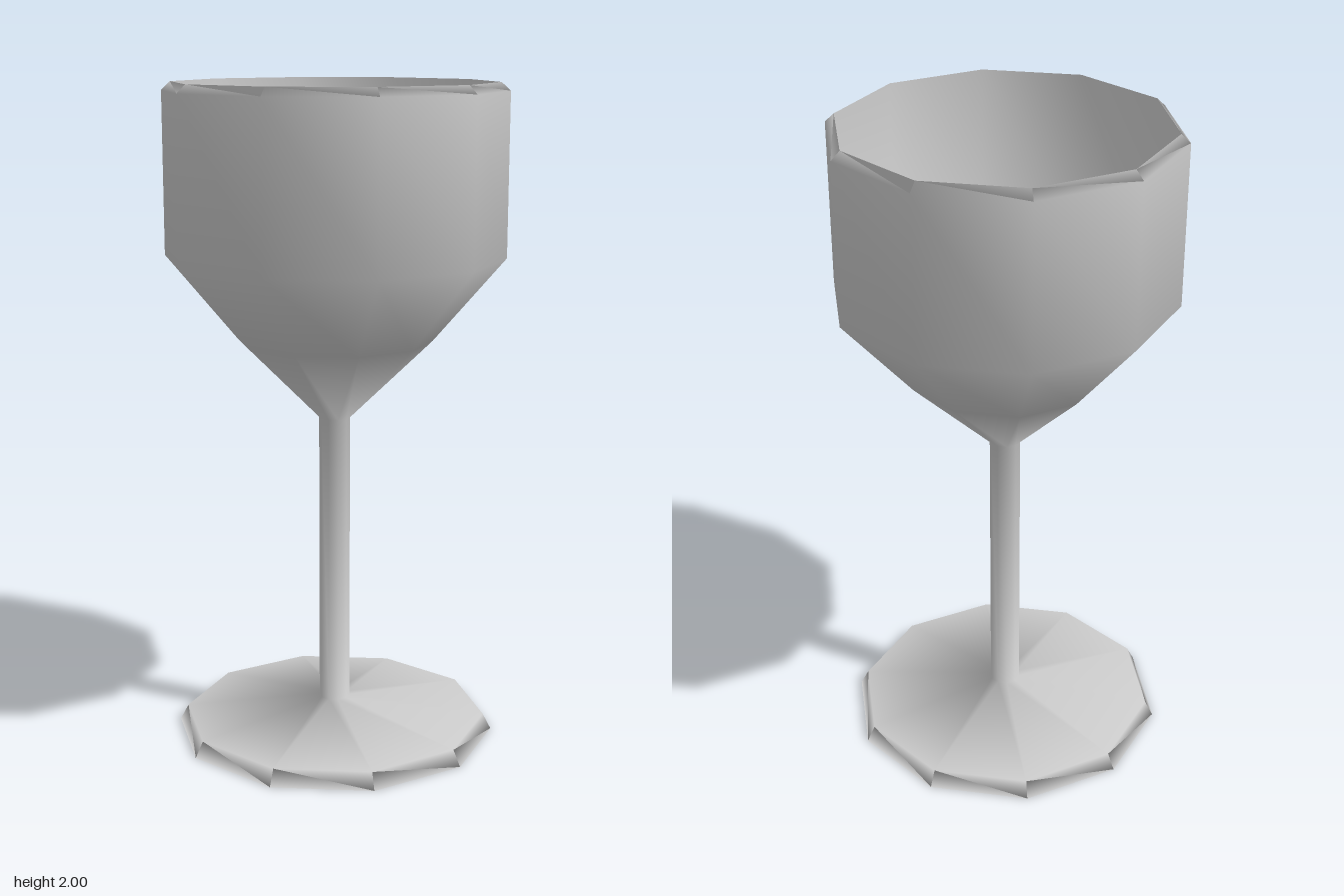
import * as THREE from 'three';

const SIDES = 10;

// Full turned profile [radius, height]: under the foot, up the outside, over the rim, down the inside
const PROFILE = [
  [0, 0], [0.493, 0], [0.468, 0.048], [0.047, 0.1],   // foot
  [0.047, 1.0],                                       // stem
  [0.295, 1.24], [0.51, 1.49], [0.51, 1.975],         // bowl outside
  [0.483, 2.0],                                       // rim
  [0.483, 1.5], [0.272, 1.26], [0, 1.02],             // bowl inside
];

export function createModel() {
  const group = new THREE.Group();
  group.name = 'goblet';
  const material = new THREE.MeshStandardMaterial({ color: 0xcccccc });
  const points = PROFILE.map(([r, y]) => new THREE.Vector2(r, y));
  const bands = points.length - 1;

  // Cut one part out of the full lathe, so shading stays smooth across the joins
  const addPart = (name, from, to) => {
    const lathe = new THREE.LatheGeometry(points, SIDES);
    const index = Array.from(lathe.index.array);
    lathe.setIndex(index.filter((_, i) => {
      const band = Math.floor(i / 6) % bands;
      return band >= from && band < to;
    }));
    const mesh = new THREE.Mesh(lathe.toNonIndexed(), material);
    mesh.name = name;
    group.add(mesh);
  };

  addPart('foot', 0, 3);
  addPart('stem', 3, 4);
  addPart('bowlOutside', 4, 7);
  addPart('rim', 7, 8);
  addPart('bowlInside', 8, 11);
  return group;
}
